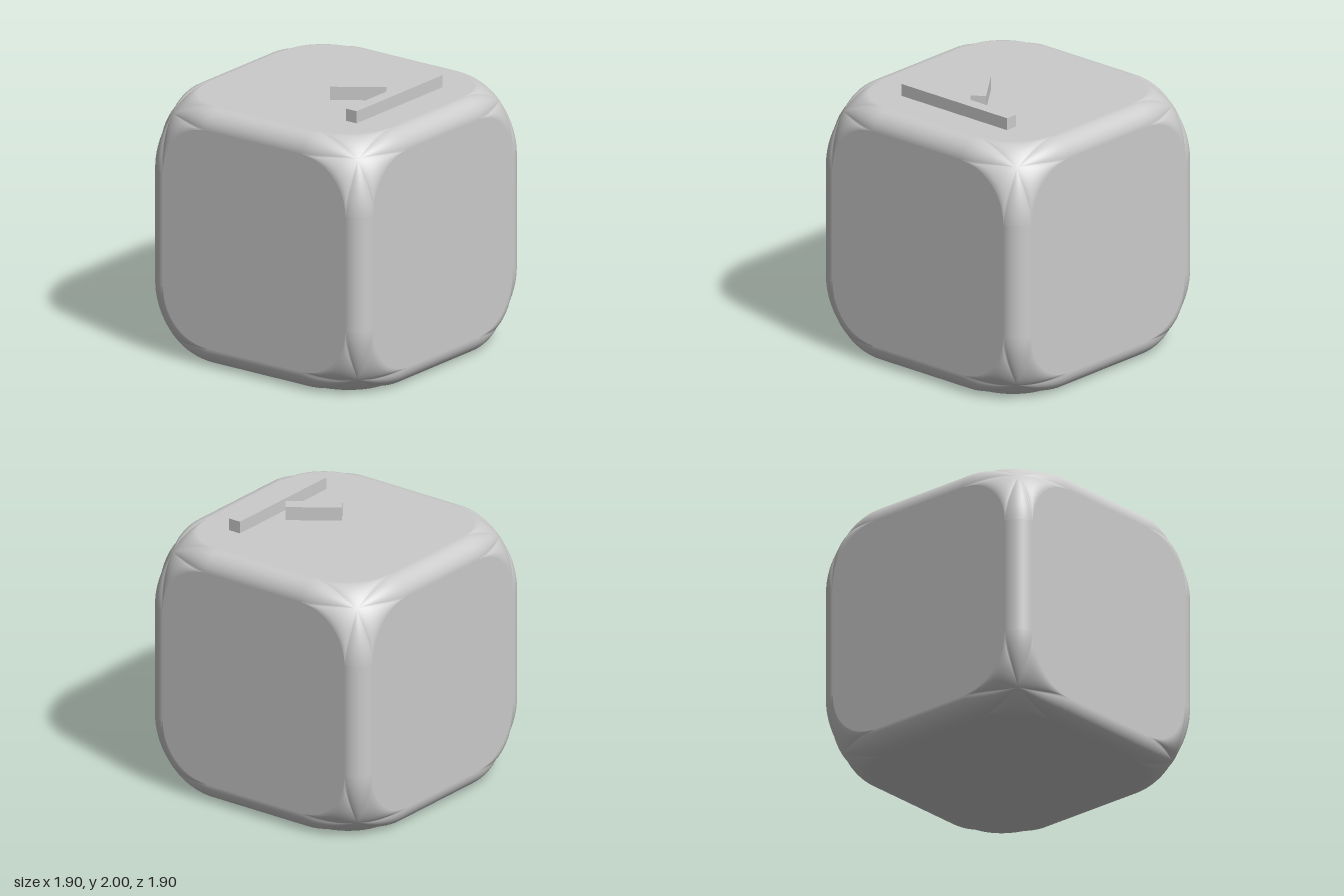
import * as THREE from 'three';
import { mergeVertices } from 'three/addons/utils/BufferGeometryUtils.js';

const H = 0.95;          // half size of the body
const R = 0.14;          // edge rounding
const F = H - R;         // half size of a flat face
const S = 0.43;          // where the corner blends begin
const A = F - S;         // corner radius of a flat face
const CORNER = 0.82;     // middle of each corner blend
const N = 16;            // steps per arc

// Point on a corner arc of the front face, in the first quadrant
const faceArc = (a) => [S + A * Math.cos(a), S + A * Math.sin(a)];

// Flat panel with rounded corners
function panelGeometry() {
  const pts = [];
  for (let q = 0; q < 4; q++) {
    for (let i = 0; i <= N; i++) {
      const p = new THREE.Vector2(...faceArc((i / N) * Math.PI / 2));
      pts.push(p.rotateAround(new THREE.Vector2(), q * Math.PI / 2));
    }
  }
  return new THREE.ShapeGeometry(new THREE.Shape(pts)).translate(0, 0, H);
}

// Six-sided blend: Bezier spokes from the rim (3 face arcs, 3 edge arcs) to the middle
function cornerGeometry() {
  const rim = [];
  const add = (k, p, n) => {
    const turn = ([x, y, z]) => new THREE.Vector3(...[[x, y, z], [z, x, y], [y, z, x]][k]);
    rim.push({ p: turn(p), n: turn(n) });
  };
  for (let k = 0; k < 3; k++) {
    for (let i = 0; i < N; i++) {
      add(k, [...faceArc((1 - i / N) * Math.PI / 2), H], [0, 0, 1]);
    }
    for (let i = 0; i < N; i++) {
      const t = (i / N) * Math.PI / 2, s = Math.sin(t), c = Math.cos(t);
      add(k, [F + R * s, S, F + R * c], [s, 0, c]);
    }
  }
  const rings = 12, m = rim.length, pos = [], index = [];
  const mid = new THREE.Vector3(CORNER, CORNER, CORNER);
  const midNormal = new THREE.Vector3(1, 1, 1).normalize();
  for (const { p, n } of rim) {
    const chord = mid.clone().sub(p);
    const h0 = chord.clone().projectOnPlane(n).divideScalar(3).add(p);
    const h1 = mid.clone().sub(chord.clone().projectOnPlane(midNormal).divideScalar(3));
    const spoke = new THREE.CubicBezierCurve3(p, h0, h1, mid);
    for (let j = 0; j < rings; j++) pos.push(...spoke.getPoint(j / rings).toArray());
  }
  pos.push(...mid.toArray());
  for (let i = 0; i < m; i++) {
    const a = i * rings, b = ((i + 1) % m) * rings;
    for (let j = 0; j < rings - 1; j++) {
      index.push(a + j, b + j, b + j + 1, a + j, b + j + 1, a + j + 1);
    }
    index.push(a + rings - 1, b + rings - 1, m * rings);
  }
  let g = new THREE.BufferGeometry();
  g.setAttribute('position', new THREE.Float32BufferAttribute(pos, 3));
  g.setIndex(index);
  g = mergeVertices(g, 1e-5);
  g.computeVertexNormals();
  return g;
}

export function createModel() {
  const model = new THREE.Group();
  model.name = 'roundedCubeClock';
  const mat = new THREE.MeshStandardMaterial({ color: 0xcccccc });
  const mesh = (parent, name, geo, rx = 0, ry = 0, rz = 0) => {
    const part = new THREE.Mesh(geo, mat);
    part.name = name;
    part.rotation.set(rx, ry, rz);
    parent.add(part);
    return part;
  };
  const Q = Math.PI / 2;

  const body = new THREE.Group();
  body.name = 'body';
  body.position.y = H;
  model.add(body);

  // Six flat panels
  const panel = panelGeometry();
  for (let i = 0; i < 4; i++) mesh(body, 'sidePanel', panel, 0, i * Q);
  mesh(body, 'topPanel', panel, -Q);
  mesh(body, 'bottomPanel', panel, Q);

  // Twelve rounded edges, four along each axis
  const edge = new THREE.CylinderGeometry(R, R, 2 * S, N, 1, true, 0, Q).translate(F, 0, F);
  for (const [rx, rz] of [[0, 0], [Q, 0], [0, Q]]) {
    const set = new THREE.Group();
    set.name = 'edgeSet';
    set.rotation.set(rx, 0, rz);
    body.add(set);
    for (let i = 0; i < 4; i++) mesh(set, 'roundedEdge', edge, 0, i * Q);
  }

  // Eight corner blends
  const corner = cornerGeometry();
  for (const rx of [0, Math.PI]) {
    for (let i = 0; i < 4; i++) mesh(body, 'cornerBlend', corner, rx, i * Q);
  }

  // Two bars lying on the top
  const longBar = mesh(model, 'longBar', new THREE.BoxGeometry(1, 0.09, 0.095));
  longBar.position.set(0, 2 * H + 0.045, 0.518);
  const shortBar = mesh(model, 'shortBar', new THREE.BoxGeometry(0.11, 0.1, 0.4), 0, Math.atan2(0.6, 0.8));
  shortBar.position.set(-0.047, 2 * H + 0.05, 0.234);

  return model;
}
